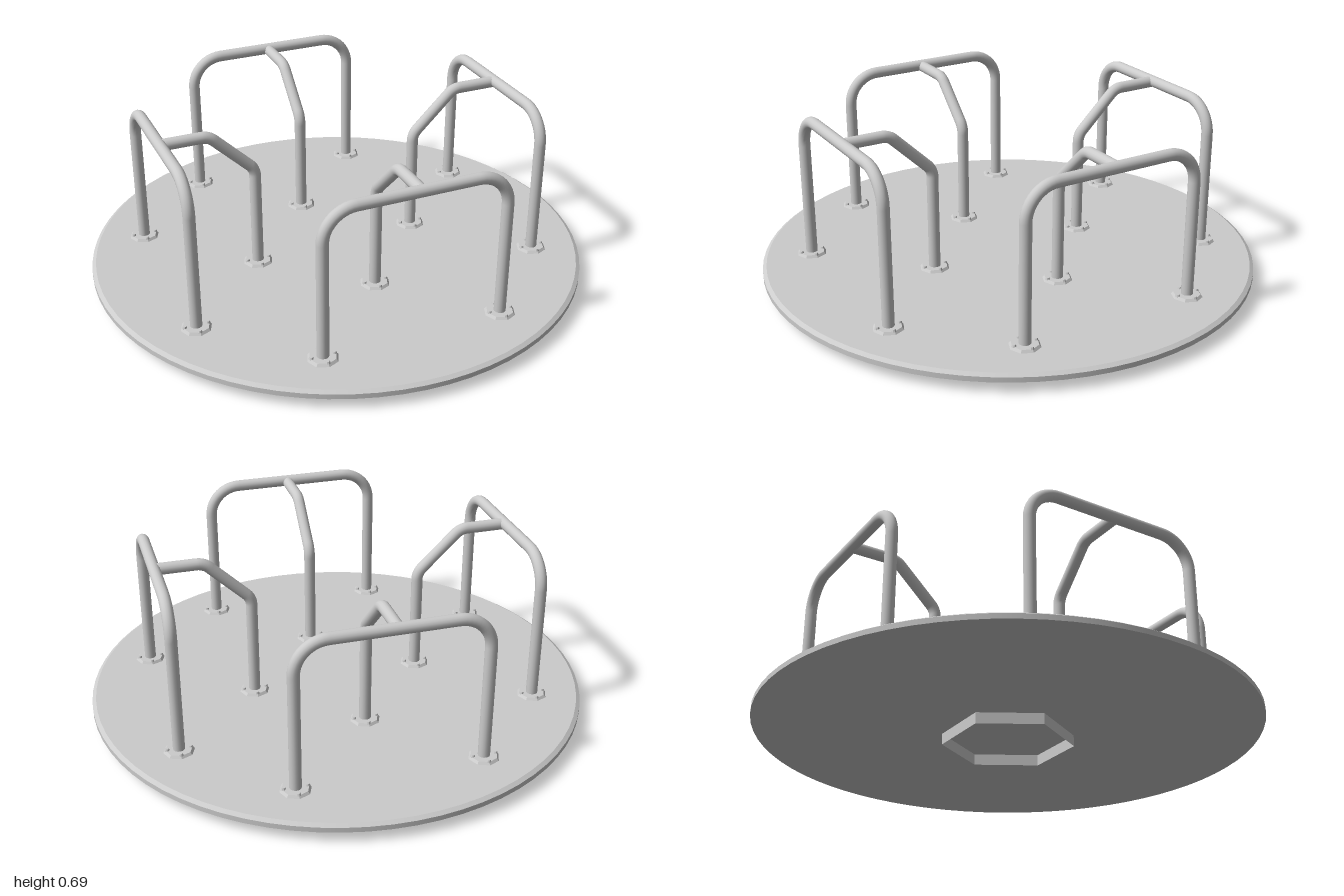
import * as THREE from 'three';

const metal = new THREE.MeshStandardMaterial({ color: 0xcccccc });
const metalFlat = new THREE.MeshStandardMaterial({ color: 0xcccccc, flatShading: true });
const metalOpen = new THREE.MeshStandardMaterial({ color: 0xcccccc, flatShading: true, side: THREE.DoubleSide });

const DECK_TOP = 0.075, RAIL_Y = 0.672, PIPE_R = 0.023;

function addMesh(parent, name, geometry, material, x = 0, y = 0, z = 0) {
  const mesh = new THREE.Mesh(geometry, material);
  mesh.name = name;
  mesh.position.set(x, y, z);
  parent.add(mesh);
  return mesh;
}

// Pipe along a polyline whose corners are rounded, starting a distance `bend` from each corner
function bentPipe(points, bend, segments) {
  const pts = points.map((p) => new THREE.Vector3(...p));
  const path = new THREE.CurvePath();
  let start = pts[0];
  for (let i = 1; i < pts.length - 1; i++) {
    const corner = pts[i];
    const before = corner.clone().add(pts[i - 1].clone().sub(corner).setLength(bend));
    const after = corner.clone().add(pts[i + 1].clone().sub(corner).setLength(bend));
    path.add(new THREE.LineCurve3(start, before));
    path.add(new THREE.CubicBezierCurve3(
      before, before.clone().lerp(corner, 0.55), after.clone().lerp(corner, 0.55), after));
    start = after;
  }
  path.add(new THREE.LineCurve3(start, pts[pts.length - 1]));
  return new THREE.TubeGeometry(path, segments, PIPE_R, 16, false);
}

// Octagonal foot plate with four bolts
function addFoot(parent, x, z) {
  const foot = new THREE.Group();
  foot.name = 'footPlate';
  foot.position.set(x, DECK_TOP, z);
  addMesh(foot, 'plate', new THREE.CylinderGeometry(0.052, 0.06, 0.01, 8), metalFlat, 0, 0.005, 0);
  for (let i = 0; i < 4; i++) {
    const a = (i * Math.PI) / 2;
    addMesh(foot, 'bolt', new THREE.CylinderGeometry(0.007, 0.01, 0.009, 8), metalFlat,
      0.045 * Math.cos(a), 0.0125, 0.045 * Math.sin(a));
  }
  parent.add(foot);
}

// Handrail: an arch parallel to the rim, braced by a cranked pipe from the inside
function makeHandrail() {
  const rail = new THREE.Group();
  rail.name = 'handrail';
  const w = 0.362, z = 0.72, off = 0.015, inner = 0.35;
  addMesh(rail, 'arch', bentPipe(
    [[-w, DECK_TOP, z], [-w, RAIL_Y, z], [w, RAIL_Y, z], [w, DECK_TOP, z]], 0.125, 100), metal);
  addMesh(rail, 'brace', bentPipe(
    [[off, DECK_TOP, inner], [off, 0.495, inner], [off, RAIL_Y - 0.004, 0.53], [off, RAIL_Y - 0.004, z]],
    0.025, 90), metal);
  addFoot(rail, -w, z);
  addFoot(rail, w, z);
  addFoot(rail, off, inner);
  return rail;
}

export function createModel() {
  const model = new THREE.Group();
  model.name = 'merryGoRound';

  // Round deck with a small bevel on the upper rim
  addMesh(model, 'deck', new THREE.CylinderGeometry(1, 1, 0.02, 72), metal, 0, 0.055, 0);
  addMesh(model, 'deckBevel', new THREE.CylinderGeometry(0.985, 1, 0.01, 72), metal, 0, 0.07, 0);

  // Hollow hexagonal hub below the deck
  addMesh(model, 'hub', new THREE.CylinderGeometry(0.26, 0.26, 0.047, 6, 1, true, Math.PI / 6),
    metalOpen, 0, 0.0235, 0);

  // Four handrails around the axis
  for (let i = 0; i < 4; i++) {
    const rail = makeHandrail();
    rail.rotation.y = (i * Math.PI) / 2;
    model.add(rail);
  }
  return model;
}
